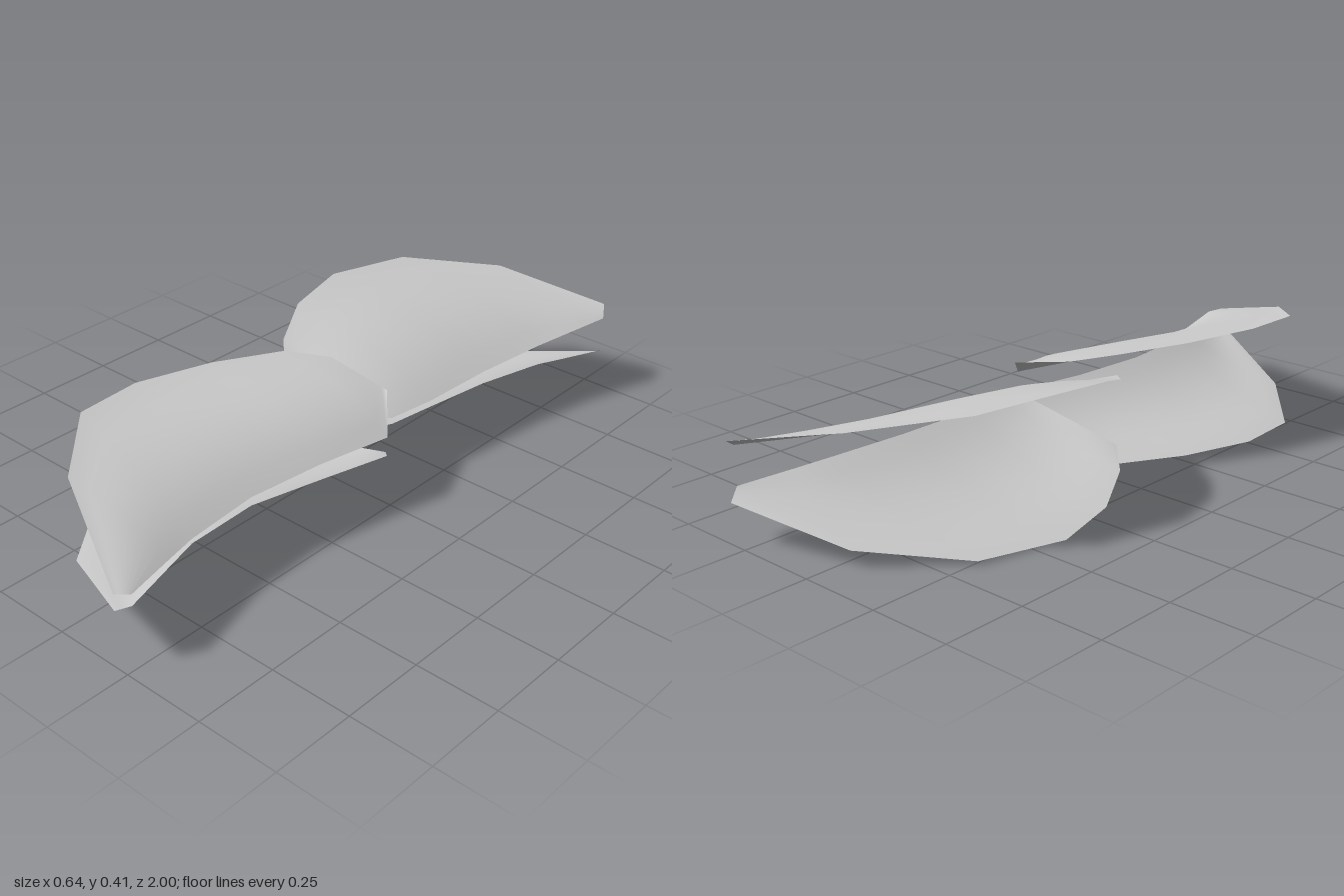
import * as THREE from 'three';

const MID_Y = 0.205; // upper and lower blades mirror about this height
const SEGMENTS = 10;

// Each station: leading edge x, y, z, trailing edge x, y, z, upward bow
const FRONT = [
  [0.22, 0.23, 1.0, 0.245, 0.222, 0.965, 0],
  [-0.125, 0.335, 0.84, 0.201, 0.216, 0.80, 0.018],
  [-0.295, 0.378, 0.65, 0.175, 0.212, 0.70, 0.028],
  [-0.30, 0.383, 0.45, 0.16, 0.218, 0.47, 0.035],
  [-0.235, 0.378, 0.22, 0.20, 0.23, 0.24, 0.038],
  [-0.14, 0.37, 0.02, 0.25, 0.235, 0.02, 0.036],
  [-0.04, 0.35, -0.07, 0.16, 0.308, -0.085, 0],
];
const REAR = [
  [-0.14, 0.31, 0.02, 0.13, 0.222, -0.04, 0],
  [-0.23, 0.34, -0.07, 0.17, 0.215, -0.10, 0.018],
  [-0.30, 0.385, -0.21, 0.19, 0.215, -0.25, 0.03],
  [-0.325, 0.41, -0.40, 0.21, 0.225, -0.48, 0.035],
  [-0.26, 0.40, -0.66, 0.25, 0.238, -0.71, 0.03],
  [-0.035, 0.362, -0.885, 0.278, 0.248, -0.81, 0.018],
  [0.295, 0.29, -1.0, 0.32, 0.262, -0.96, 0],
];

// Lofts a thin cambered sheet through the stations; side is 1 (upper) or -1 (lower)
function bladeGeometry(stations, side) {
  const positions = [];
  const indices = [];
  const row = SEGMENTS + 1;
  stations.forEach(([lx, ly, lz, tx, ty, tz, bow], i) => {
    for (let j = 0; j <= SEGMENTS; j++) {
      const t = j / SEGMENTS;
      const s = Math.pow(t, 1.4); // fullest part sits towards the trailing edge
      const y = THREE.MathUtils.lerp(ly, ty, t) + bow * 4 * s * (1 - s);
      positions.push(
        THREE.MathUtils.lerp(lx, tx, t),
        MID_Y + side * (y - MID_Y),
        THREE.MathUtils.lerp(lz, tz, t),
      );
      if (i === stations.length - 1 || j === SEGMENTS) continue;
      const a = i * row + j, b = a + row, c = a + 1, d = b + 1;
      if (side > 0) indices.push(a, c, b, c, d, b);
      else indices.push(a, b, c, c, b, d);
    }
  });
  const geometry = new THREE.BufferGeometry();
  geometry.setAttribute('position', new THREE.Float32BufferAttribute(positions, 3));
  geometry.setIndex(indices);
  geometry.computeVertexNormals();
  return geometry;
}

export function createModel() {
  const group = new THREE.Group();
  group.name = 'pairedBlades';
  const material = new THREE.MeshStandardMaterial({ color: 0xcccccc, side: THREE.DoubleSide });
  material.name = 'light grey';

  // Overlapping front and rear blades, mirrored above and below
  for (const [level, side] of [['upper', 1], ['lower', -1]]) {
    for (const [place, stations] of [['Front', FRONT], ['Rear', REAR]]) {
      const blade = new THREE.Mesh(bladeGeometry(stations, side), material);
      blade.name = `${level}${place}Blade`;
      group.add(blade);
    }
  }
  return group;
}
